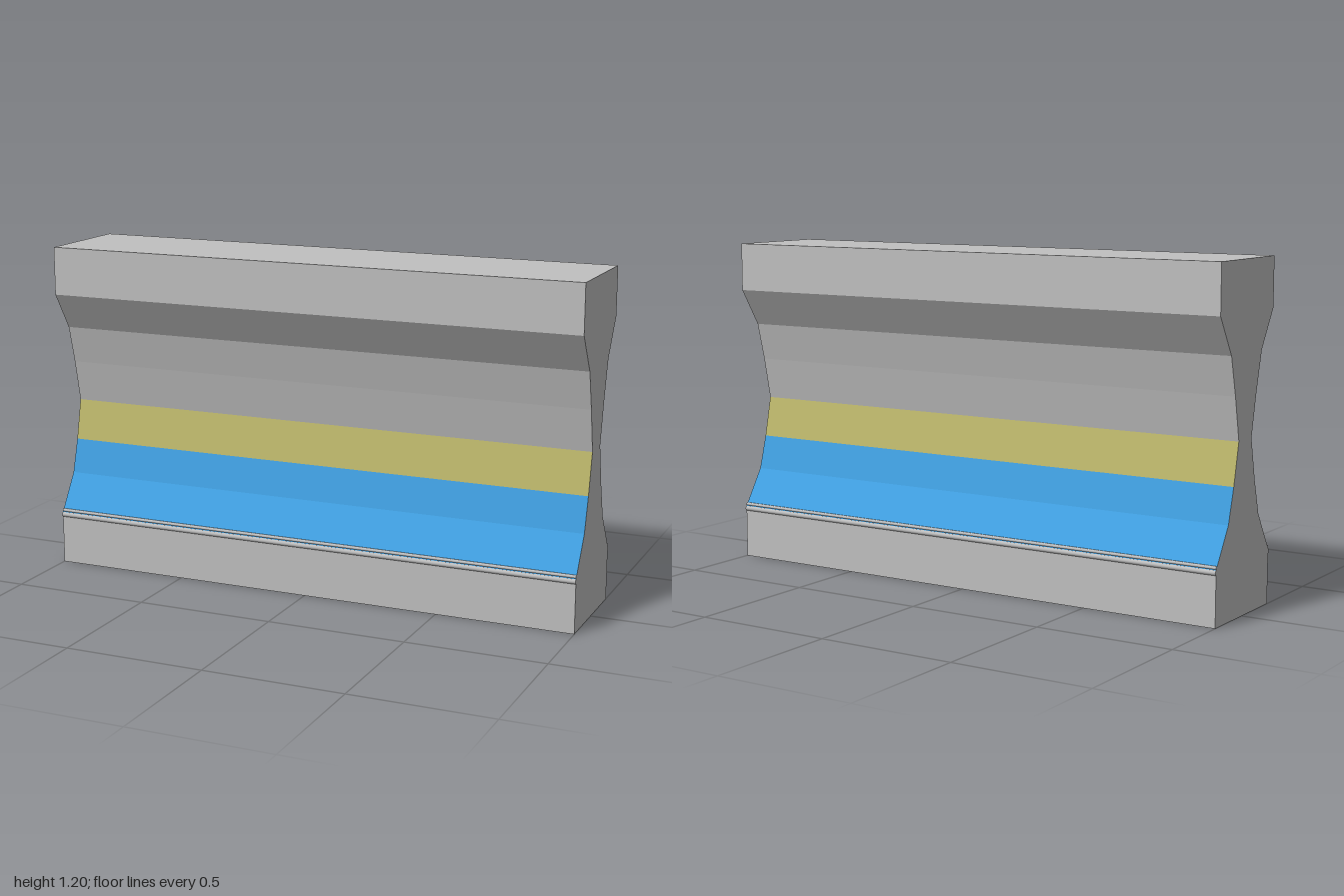
import * as THREE from 'three';

export function createModel() {
  const silver = new THREE.MeshStandardMaterial({ name: 'silver', color: 0xc0c0c0 });
  const blue = new THREE.MeshStandardMaterial({ name: 'blue', color: 0x409fe0 });
  const khaki = new THREE.MeshStandardMaterial({ name: 'khaki', color: 0xbdb76b });
  const model = new THREE.Group();
  model.name = 'waistedBarrier';
  const length = 2;

  // Right half of the cross-section as [half depth, height], mirrored below
  const half = [
    [0.2, 0], [0.2, 0.195], [0.115, 0.33], [0.08, 0.453], [0.048, 0.6],
    [0.08, 0.753], [0.115, 0.89], [0.2, 1.025], [0.2, 1.2],
  ];
  const outline = [...half, ...half.map(([d, y]) => [-d, y]).reverse()];
  const shape = new THREE.Shape(outline.map(([d, y]) => new THREE.Vector2(d, y)));
  const body = new THREE.ExtrudeGeometry(shape, { depth: length, bevelEnabled: false });
  body.translate(0, 0, -length / 2).rotateY(Math.PI / 2);

  // Colour bands by height on the long faces; the end caps stay silver
  const position = body.attributes.position;
  const [caps, sides] = body.groups.map((g) => ({ ...g }));
  body.clearGroups();
  body.addGroup(caps.start, caps.count, 0);
  for (let i = sides.start; i < sides.start + sides.count; i += 3) {
    const ys = [0, 1, 2].map((k) => position.getY(i + k));
    const low = Math.min(...ys), high = Math.max(...ys);
    let band = 0;
    if (low > 0.19 && high < 0.46) band = 1;
    else if (low > 0.44 && high < 0.61) band = 2;
    body.addGroup(i, 3, band);
  }
  const beam = new THREE.Mesh(body, [silver, blue, khaki]);
  beam.name = 'beam';
  model.add(beam);

  // Two slim trim ribs along the lower ledge on each side
  for (const side of [1, -1]) {
    for (const [name, y, z, radius] of [['lowerRib', 0.186, 0.196, 0.01], ['upperRib', 0.202, 0.195, 0.006]]) {
      const geometry = new THREE.CylinderGeometry(radius, radius, length, 10).rotateZ(Math.PI / 2);
      const rib = new THREE.Mesh(geometry, silver);
      rib.name = (side > 0 ? 'front ' : 'back ') + name;
      rib.position.set(0, y, side * z);
      model.add(rib);
    }
  }
  return model;
}
